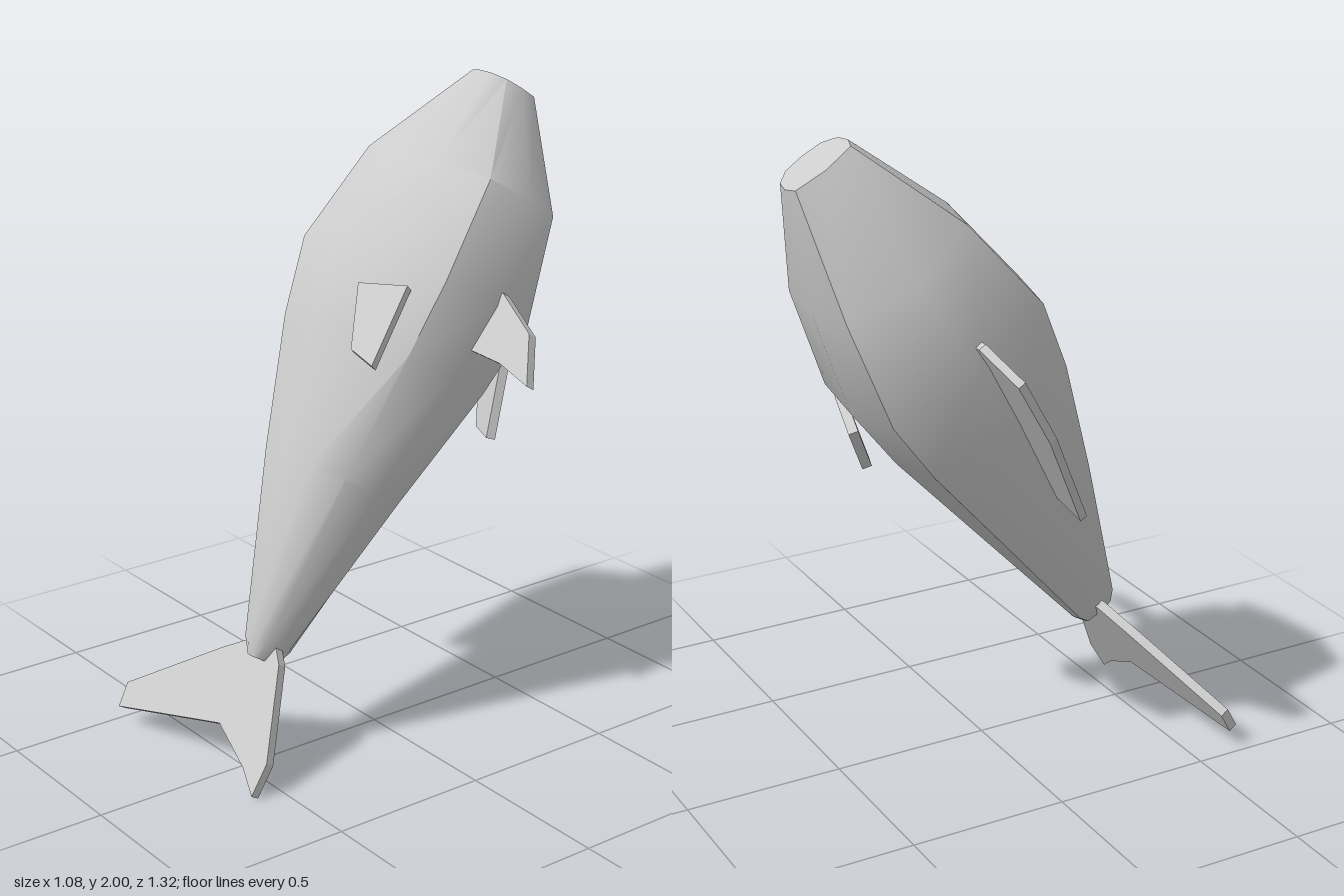
import * as THREE from 'three';
import { toCreasedNormals } from 'three/addons/utils/BufferGeometryUtils.js';

const material = new THREE.MeshStandardMaterial({ color: 0xcccccc });

// Half cross-section from back ridge (-x) to belly (+x); mirrored in z
const half = [[-1, 0], [-0.77, 0.88], [-0.2, 1], [0.4, 0.92], [0.88, 0.58], [1, 0]];
const section = [...half, ...half.slice(1, -1).reverse().map(([x, z]) => [x, -z])];

// Rings along the body: y, ridge reach, belly reach, half thickness
const rings = [
  [0, 0.075, 0.075, 0.112],
  [-0.33, 0.29, 0.3, 0.25],
  [-0.66, 0.347, 0.345, 0.318],
  [-0.9, 0.31, 0.295, 0.288],
  [-1.3, 0.215, 0.18, 0.2],
  [-1.84, 0.05, 0.045, 0.08],
  [-1.89, 0.025, 0.025, 0.055],
];
const TAIL_NOTCH = -1.82;

function bodyGeometry() {
  const pos = [], index = [], n = section.length;
  for (const [y, ridge, belly, thick] of rings) {
    for (const [x, z] of section) pos.push(x * (x < 0 ? ridge : belly), y, z * thick);
  }
  for (let i = 0; i < rings.length - 1; i++) {
    for (let j = 0; j < n; j++) {
      const k = (j + 1) % n;
      const a = i * n + j, b = i * n + k, c = b + n, d = a + n;
      index.push(a, d, b, d, c, b);
    }
  }
  // Flat snout and notched tail end
  const top = pos.length / 3, last = (rings.length - 1) * n;
  pos.push(0, 0, 0, 0, TAIL_NOTCH, 0);
  for (let j = 0; j < n; j++) {
    const k = (j + 1) % n;
    index.push(top, j, k, top + 1, last + k, last + j);
  }
  const g = new THREE.BufferGeometry();
  g.setAttribute('position', new THREE.Float32BufferAttribute(pos, 3));
  g.setIndex(index);
  return toCreasedNormals(g, 0.7);
}

// Flat fin cut from an outline and centred on its thickness
function fin(name, outline, thickness, z = 0) {
  const shape = new THREE.Shape(outline.map(([x, y]) => new THREE.Vector2(x, y)));
  const g = new THREE.ExtrudeGeometry(shape, { depth: thickness, bevelEnabled: false });
  g.translate(0, 0, z - thickness / 2);
  const mesh = new THREE.Mesh(g, material);
  mesh.name = name;
  return mesh;
}

export function createModel() {
  const fish = new THREE.Group();
  fish.name = 'fish';

  const body = new THREE.Mesh(bodyGeometry(), material);
  body.name = 'body';
  fish.add(body);

  // Long fin on the back and short one on the belly
  fish.add(fin('longFin', [[-0.2, -0.6], [-0.345, -0.586], [-0.488, -0.67], [-0.468, -0.9],
    [-0.306, -1.319], [-0.203, -1.259], [-0.12, -1.22]], 0.025, 0.04));
  fish.add(fin('shortFin', [[0.22, -0.62], [0.22, -0.8], [0.336, -0.809], [0.445, -0.819],
    [0.584, -0.859], [0.51, -0.712], [0.343, -0.618]], 0.03, -0.017));

  // Side fins, one on each face of the body
  for (const [side, x, y, z] of [[1, 0.19, -0.845, 0.288], [-1, 0.135, -0.875, 0.308]]) {
    const sideFin = new THREE.Group();
    sideFin.name = side > 0 ? 'frontSideFin' : 'backSideFin';
    const blade = fin('sideFinBlade', [[-0.1, 0.08], [0.05, 0.13], [0.09, -0.13], [0, -0.11]], 0.03);
    blade.position.set(x, y, z);
    blade.rotation.set(-0.2, 0.32, 0);
    sideFin.add(blade);
    sideFin.scale.z = side;
    fish.add(sideFin);
  }

  // Uneven forked tail, slightly twisted
  const tail = fin('tailFin', [[0.025, -1.82], [-0.04, -1.83], [-0.161, -1.909], [-0.48, -2.141],
    [-0.474, -2.22], [-0.05, -2.117], [0.107, -2.2], [0.184, -2.263], [0.189, -2.158], [0.08, -1.88]], 0.03);
  tail.rotation.y = 0.11;
  fish.add(tail);

  // Stand the fish snout-up in its leaning pose
  const up = new THREE.Vector3(-0.042, 0.852, -0.521).normalize();
  const out = new THREE.Vector3(0, 0.521, 0.852).normalize();
  const across = new THREE.Vector3().crossVectors(up, out);
  fish.quaternion.setFromRotationMatrix(new THREE.Matrix4().makeBasis(across, up, out));
  fish.position.set(-0.08, 1.94, -0.565);

  const model = new THREE.Group();
  model.name = 'leapingFish';
  model.add(fish);
  return model;
}
